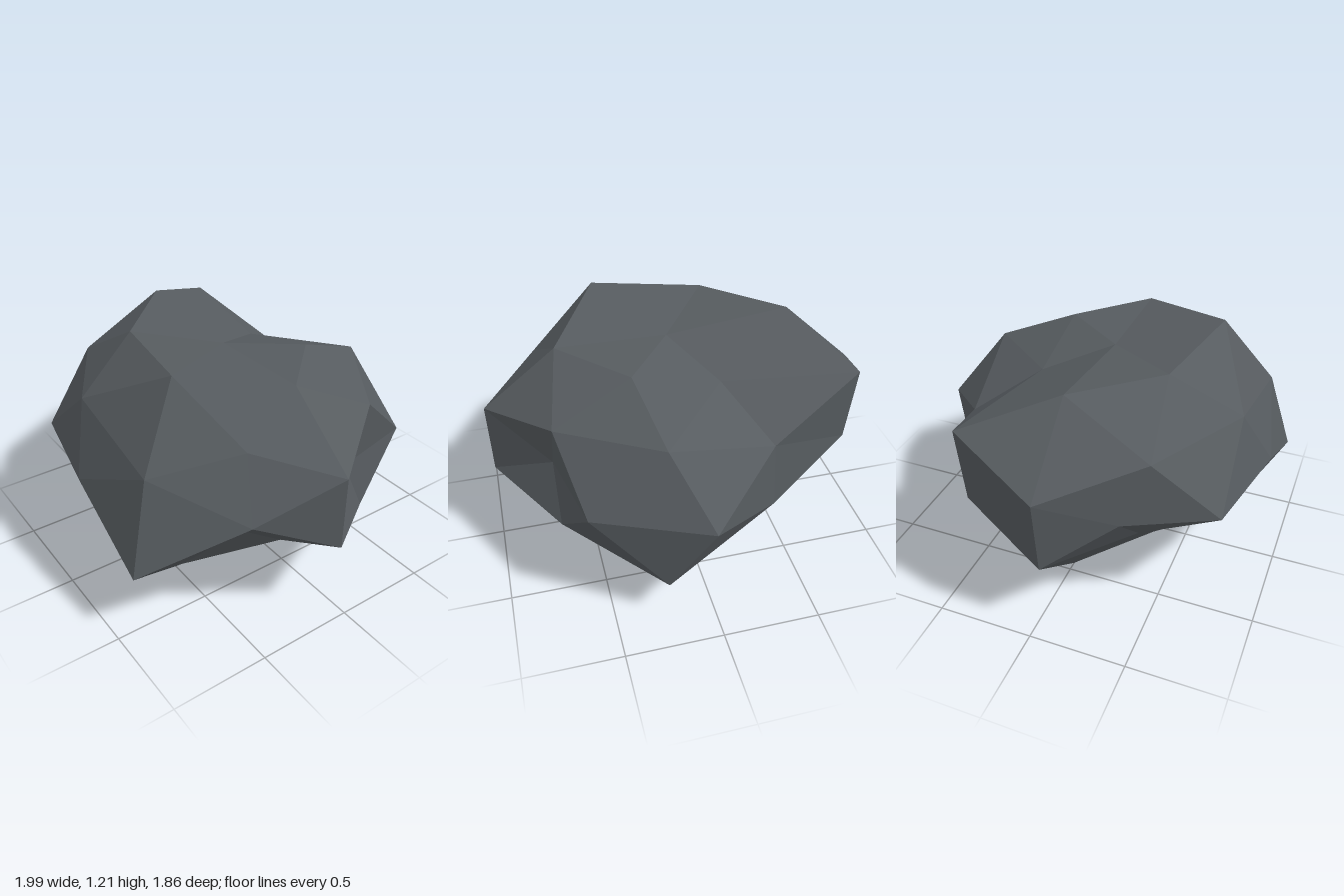
import * as THREE from 'three';
import { ConvexGeometry } from 'three/addons/geometries/ConvexGeometry.js';

// Rings of a once-divided icosahedron whose poles lie on the z axis:
// z height, first angle and angle step in degrees, and how far each corner is pushed in or out.
const RINGS = [
  { z: 1, start: 0, step: 360, radii: [1.05] },
  { z: 0.8507, start: 36, step: 72, radii: [1.07, 1.04, 1.07, 0.965, 1.26] },
  { z: 0.5257, start: 0, step: 72, radii: [0.94, 1.14, 1.0, 0.77, 1.067] },
  { z: 0.4472, start: 36, step: 72, radii: [0.91, 1.025, 0.87, 0.885, 0.74] },
  { z: 0, start: 18, step: 36, radii: [1.01, 0.98, 0.78, 1.105, 1.08, 1.035, 1.005, 1.0, 0.875, 1.005] },
  { z: -0.4472, start: 0, step: 72, radii: [0.74, 0.91, 1.22, 0.92, 0.88] },
  { z: -0.5257, start: 36, step: 72, radii: [0.955, 0.75, 1.0, 0.94, 0.96] },
  { z: -0.8507, start: 0, step: 72, radii: [1.065, 1.055, 0.91, 0.94, 1.25] },
  { z: -1, start: 0, step: 360, radii: [1.195] },
];

function rockGeometry() {
  const corners = RINGS.flatMap(({ z, start, step, radii }) =>
    radii.map((radius, i) => {
      const angle = THREE.MathUtils.degToRad(start + i * step);
      const flat = Math.sqrt(1 - z * z);
      return { radius, dir: new THREE.Vector3(flat * Math.cos(angle), flat * Math.sin(angle), z) };
    })
  );

  // Triangulate the even sphere, then push each corner along its own ray
  const geometry = new ConvexGeometry(corners.map((c) => c.dir));
  const position = geometry.attributes.position;
  const p = new THREE.Vector3();
  for (let i = 0; i < position.count; i++) {
    p.fromBufferAttribute(position, i);
    const corner = corners.reduce((a, b) => (b.dir.dot(p) > a.dir.dot(p) ? b : a));
    p.copy(corner.dir).multiplyScalar(corner.radius);
    position.setXYZ(i, p.x, p.y, p.z);
  }

  // Squash into a low boulder resting on the ground
  geometry.scale(1, 0.63, 0.82);
  geometry.translate(0.03, 0.63, 0.05);
  geometry.computeVertexNormals();
  return geometry;
}

export function createModel() {
  const group = new THREE.Group();
  group.name = 'boulder';

  const stone = new THREE.MeshStandardMaterial({ color: 0x565b5f, flatShading: true });
  stone.name = 'dark grey stone';

  const rock = new THREE.Mesh(rockGeometry(), stone);
  rock.name = 'rock';
  group.add(rock);
  return group;
}
